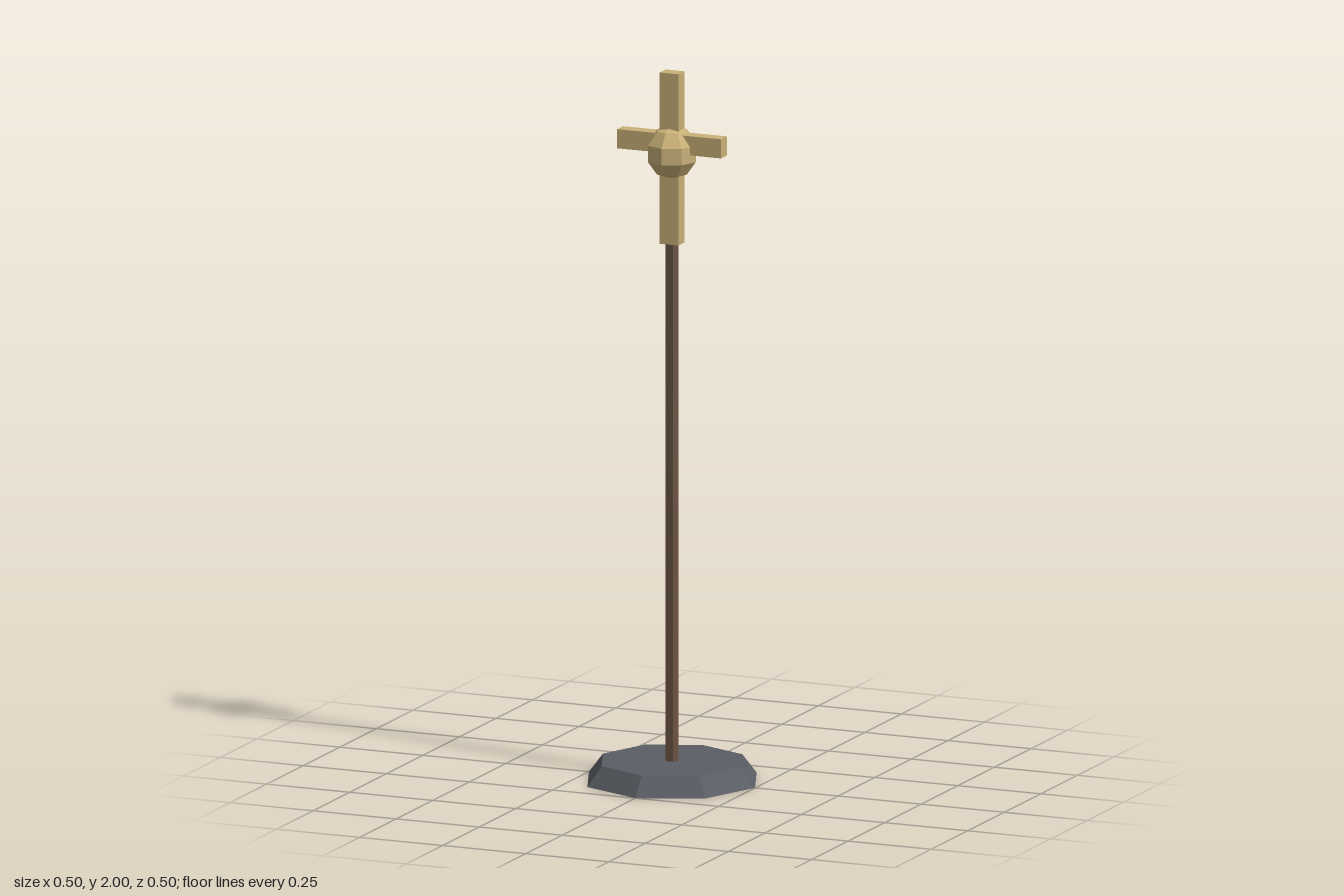
import * as THREE from 'three';

const flat = (name, color) => {
  const m = new THREE.MeshStandardMaterial({ color, flatShading: true });
  m.name = name;
  return m;
};

export function createModel() {
  const group = new THREE.Group();
  group.name = 'standingCross';

  const iron = flat('darkIron', 0x5a5d64);
  const wood = flat('brownWood', 0x6b5444);
  const gold = flat('paleGold', 0xc8b078);

  const add = (name, geometry, material, y) => {
    const mesh = new THREE.Mesh(geometry, material);
    mesh.name = name;
    mesh.position.y = y;
    group.add(mesh);
    return mesh;
  };

  // Octagonal sloped foot
  add('base', new THREE.CylinderGeometry(0.208, 0.25, 0.055, 8), iron, 0.0275);

  // Slim six-sided staff with corners toward the sides
  add('pole', new THREE.CylinderGeometry(0.02, 0.02, 1.48, 6, 1, false, Math.PI / 6), wood, 0.79);

  // Cross and the faceted knob at its centre
  add('uprightBar', new THREE.BoxGeometry(0.056, 0.484, 0.041), gold, 1.758);
  add('crossBar', new THREE.BoxGeometry(0.313, 0.054, 0.041), gold, 1.801);
  add('knob', new THREE.SphereGeometry(0.075, 8, 5), gold, 1.774);

  return group;
}
